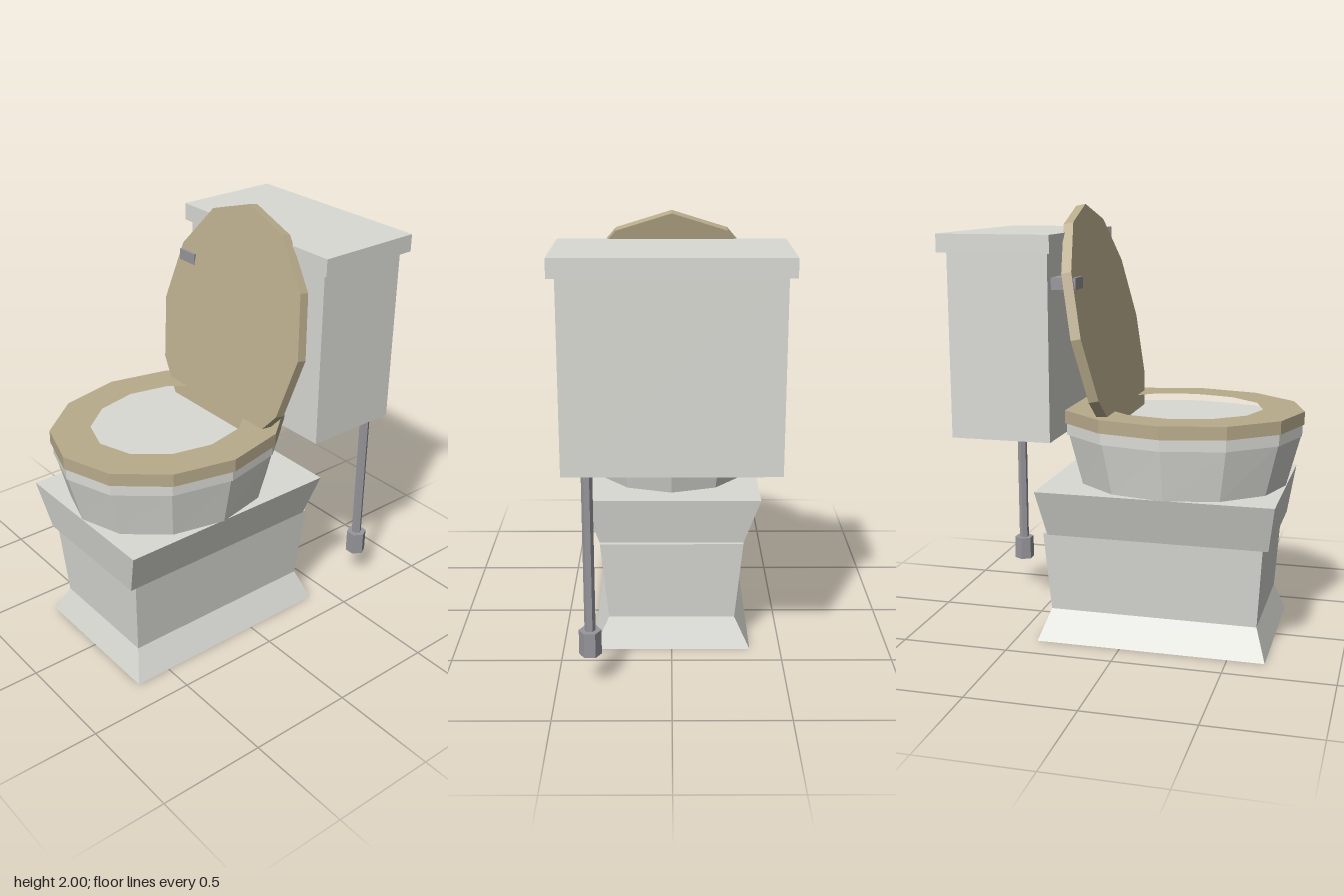
import * as THREE from 'three';

const mat = (name, color) => {
  const m = new THREE.MeshStandardMaterial({ color, flatShading: true });
  m.name = name;
  return m;
};

// Regular outline, first corner turned by `start`; +z is angle 0.
const outline = (sides, start = 0, r = 1) =>
  Array.from({ length: sides }, (_, i) => {
    const a = start + (i / sides) * Math.PI * 2;
    return [Math.sin(a) * r, Math.cos(a) * r];
  });
const SQUARE = outline(4, Math.PI / 4, Math.SQRT2);
const OVAL = outline(12);

// Closed solid through levels [y, halfWidth, zFront, zBack].
function loft(shape, levels) {
  const pos = [];
  const rings = levels.map(([y, w, zf, zb]) =>
    shape.map(([x, z]) => [x * w, y, (zf + zb) / 2 + (z * (zf - zb)) / 2]));
  const n = shape.length;
  const tri = (a, b, c) => pos.push(...a, ...b, ...c);
  for (let k = 0; k + 1 < rings.length; k++) {
    for (let i = 0; i < n; i++) {
      const j = (i + 1) % n;
      tri(rings[k][i], rings[k][j], rings[k + 1][j]);
      tri(rings[k][i], rings[k + 1][j], rings[k + 1][i]);
    }
  }
  const bottom = rings[0], top = rings[rings.length - 1];
  for (let i = 1; i + 1 < n; i++) {
    tri(top[0], top[i], top[i + 1]);
    tri(bottom[0], bottom[i + 1], bottom[i]);
  }
  const g = new THREE.BufferGeometry();
  g.setAttribute('position', new THREE.Float32BufferAttribute(pos, 3));
  g.computeVertexNormals();
  return g;
}

// Flat twelve-sided oval plate, optionally with an oval hole.
function ovalPlate(rx, ry, depth, hole) {
  const pts = (a, b) => OVAL.map(([x, y]) => new THREE.Vector2(x * a, y * b));
  const shape = new THREE.Shape(pts(rx, ry));
  if (hole) shape.holes.push(new THREE.Path(pts(...hole)));
  return new THREE.ExtrudeGeometry(shape, { depth, bevelEnabled: false });
}

export function createModel() {
  const model = new THREE.Group();
  model.name = 'toilet';
  const porcelain = mat('porcelain', 0xdadad5);
  const seatTan = mat('seat tan', 0xb9ac8c);
  const metal = mat('metal grey', 0x97979d);

  const add = (name, geo, material, x = 0, y = 0, z = 0) => {
    const m = new THREE.Mesh(geo, material);
    m.name = name;
    m.position.set(x, y, z);
    model.add(m);
    return m;
  };

  // Pedestal with flared foot, and the wider block above it
  add('pedestal', loft(SQUARE, [
    [0, 0.36, 0.67, -0.395], [0.14, 0.29, 0.62, -0.345], [0.515, 0.325, 0.645, -0.37],
  ]), porcelain);
  add('pedestalTop', loft(SQUARE, [
    [0.51, 0.325, 0.67, -0.35], [0.73, 0.4, 0.703, -0.385],
  ]), porcelain);

  // Bowl and rim
  add('bowl', loft(OVAL, [[0.73, 0.405, 0.7, -0.28], [0.965, 0.45, 0.763, -0.345]]), porcelain);
  add('rim', loft(OVAL, [[0.965, 0.458, 0.768, -0.355], [1.02, 0.458, 0.768, -0.355]]), porcelain);

  // Seat ring and raised lid
  const seat = ovalPlate(0.475, 0.57, 0.06, [0.31, 0.38]);
  seat.rotateX(-Math.PI / 2);
  add('seat', seat, seatTan, 0, 1.02, 0.207);
  const lid = ovalPlate(0.475, 0.57, 0.046);
  lid.translate(0, 0, -0.023);
  add('lid', lid, seatTan, 0, 1.437, -0.156).rotation.x = -0.208;

  // Tank with overhanging cover
  add('tank', new THREE.BoxGeometry(0.915, 0.83, 0.46), porcelain, 0, 1.39, -0.515);
  add('tankCover', new THREE.BoxGeometry(0.976, 0.08, 0.515), porcelain, 0, 1.84, -0.5225);

  // Flush handle
  add('flushHandle', new THREE.BoxGeometry(0.108, 0.052, 0.112), metal, -0.358, 1.669, -0.23);

  // Water pipe with hexagonal fitting
  const hex = (r, h) => new THREE.CylinderGeometry(r, r, h, 6).rotateY(Math.PI / 2);
  add('waterPipe', hex(0.024, 0.78), metal, 0.352, 0.6, -0.713);
  add('pipeFitting', hex(0.049, 0.113), metal, 0.352, 0.21, -0.713);

  return model;
}
